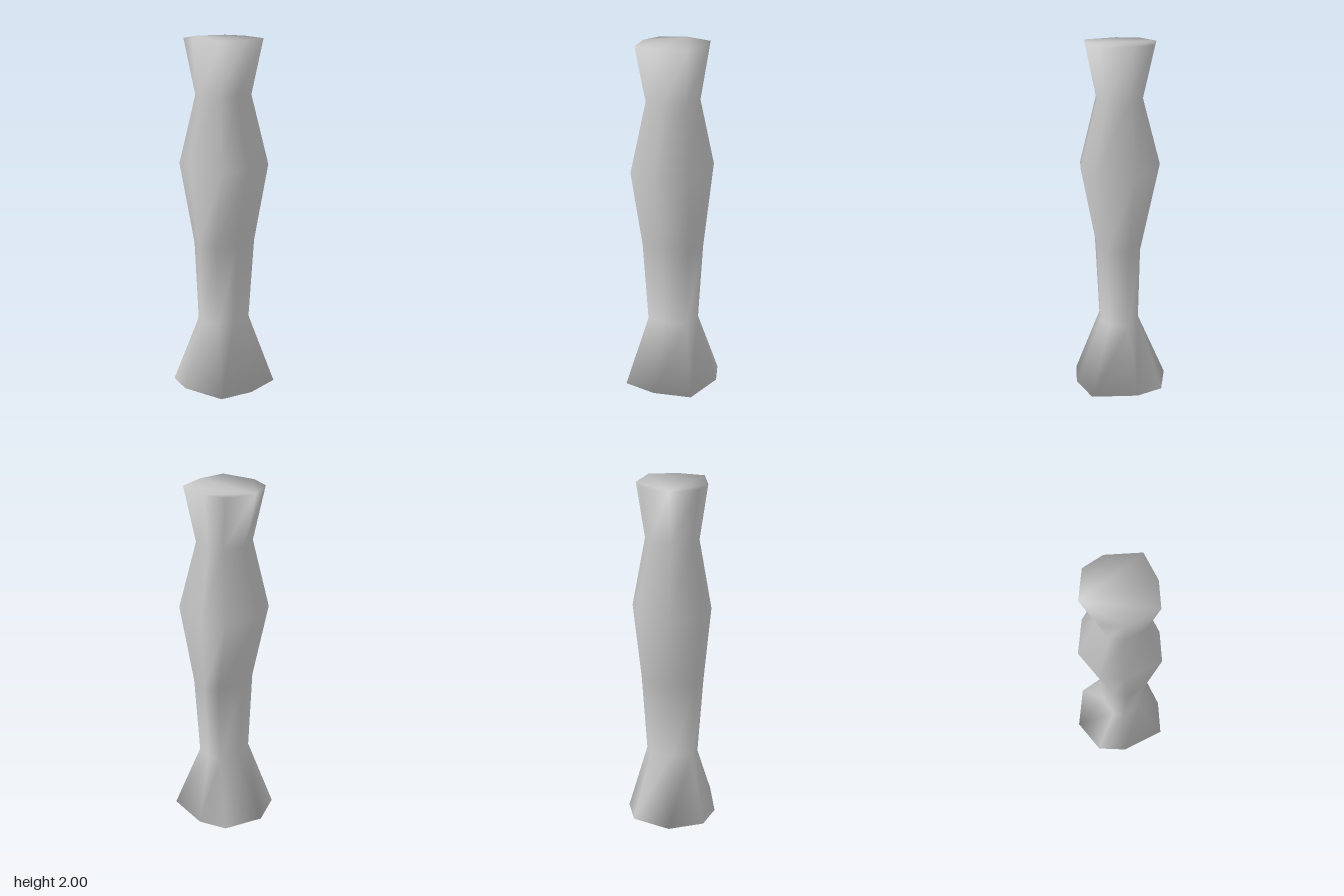
import * as THREE from 'three';

// Octagonal cross-section, one unit in half-width and half-depth, from the back round by +x
const SECTION = [
  [-0.05, -1], [0.79, -0.69], [1, -0.1], [0.79, 0.85],
  [-0.05, 1], [-0.8, 0.85], [-1, -0.1], [-0.8, -0.69],
];

// Levels from the foot up: height, half-width, front z, back z
const LEVELS = [
  [0, 0.26, 0.27, -0.27],
  [0.39, 0.15, 0.12, -0.1],
  [0.85, 0.18, 0.14, -0.11],
  [1.3, 0.222, 0.232, -0.23],
  [1.69, 0.15, 0.135, -0.125],
  [2, 0.195, 0.202, -0.203],
];

function loftGeometry() {
  const n = SECTION.length;
  const positions = [];
  const index = [];

  for (const [y, halfWidth, front, back] of LEVELS) {
    const centre = (front + back) / 2;
    const halfDepth = (front - back) / 2;
    for (const [x, z] of SECTION) {
      positions.push(x * halfWidth, y, centre + z * halfDepth);
    }
  }

  // Side walls between neighbouring levels
  for (let i = 0; i < LEVELS.length - 1; i++) {
    for (let j = 0; j < n; j++) {
      const a = i * n + j;
      const b = i * n + ((j + 1) % n);
      index.push(a, a + n, b, b, a + n, b + n);
    }
  }

  // Closed foot and top, sharing the wall vertices for smooth shading
  const top = (LEVELS.length - 1) * n;
  for (let j = 1; j < n - 1; j++) {
    index.push(0, j, j + 1);
    index.push(top, top + j + 1, top + j);
  }

  const geometry = new THREE.BufferGeometry();
  geometry.setAttribute('position', new THREE.Float32BufferAttribute(positions, 3));
  geometry.setIndex(index);
  geometry.computeVertexNormals();
  return geometry;
}

export function createModel() {
  const group = new THREE.Group();
  group.name = 'pillar';

  // Waisted shaft with flared foot and top
  const shaft = new THREE.Mesh(
    loftGeometry(),
    new THREE.MeshStandardMaterial({ color: 0xcccccc }),
  );
  shaft.name = 'shaft';
  group.add(shaft);
  return group;
}
